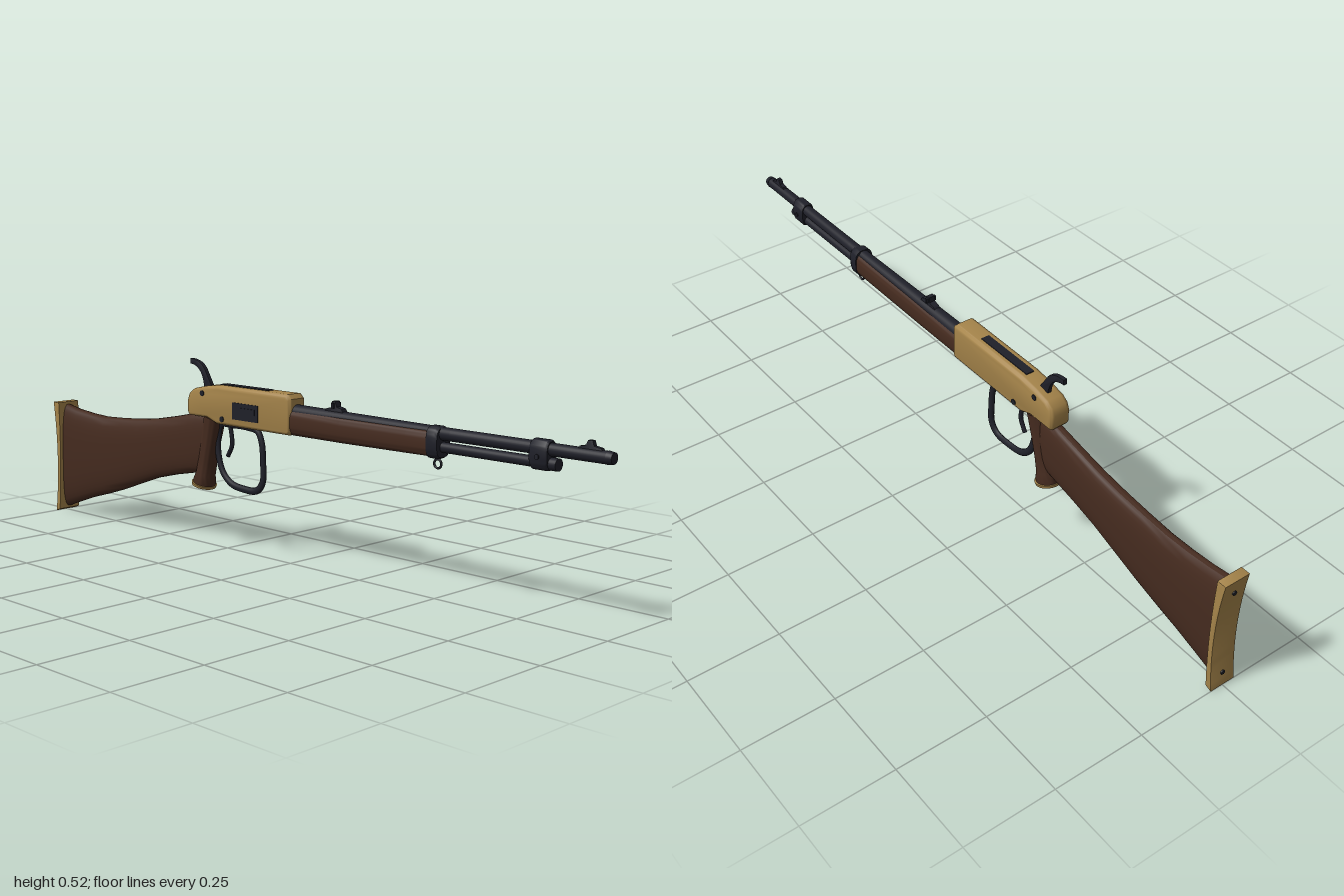
import * as THREE from 'three';
import { toCreasedNormals } from 'three/addons/utils/BufferGeometryUtils.js';

const mat = (name, color) => {
  const m = new THREE.MeshStandardMaterial({ color });
  m.name = name;
  return m;
};

// Superellipse cross-sections along x; each row is [x, bottom y, top y, half width]
function loft(rows, power = 2.4, n = 32) {
  const pos = [], idx = [];
  const soft = (v) => Math.sign(v) * Math.pow(Math.abs(v), 2 / power);
  for (const [x, y0, y1, w] of rows) {
    for (let j = 0; j < n; j++) {
      const a = (j / n) * Math.PI * 2;
      pos.push(x, (y0 + y1) / 2 + (y1 - y0) / 2 * soft(Math.cos(a)), w * soft(Math.sin(a)));
    }
  }
  const last = rows.length - 1;
  for (let i = 0; i < last; i++) {
    for (let j = 0; j < n; j++) {
      const k = (j + 1) % n, a = i * n + j, b = i * n + k;
      idx.push(a, b, b + n, a, b + n, a + n);
    }
  }
  for (const [r, flip] of [[0, true], [last, false]]) {
    const c = pos.length / 3;
    pos.push(rows[r][0], (rows[r][1] + rows[r][2]) / 2, 0);
    for (let j = 0; j < n; j++) {
      const a = r * n + j, b = r * n + (j + 1) % n;
      idx.push(c, flip ? b : a, flip ? a : b);
    }
  }
  const g = new THREE.BufferGeometry();
  g.setAttribute('position', new THREE.Float32BufferAttribute(pos, 3));
  g.setIndex(idx);
  return toCreasedNormals(g, 0.7);
}

// Side profile extruded evenly about z = 0, with edges rounded inward
function slab(shape, width, bevel = 0.002, segments = 2) {
  const g = new THREE.ExtrudeGeometry(shape, {
    depth: width - 2 * bevel, bevelEnabled: true, bevelSize: bevel, bevelOffset: -bevel,
    bevelThickness: bevel, bevelSegments: segments, curveSegments: 16,
  });
  g.translate(0, 0, -(width - 2 * bevel) / 2);
  return toCreasedNormals(g, 0.7);
}

const poly = (pts) => new THREE.Shape(pts.map(([x, y]) => new THREE.Vector2(x, y)));
const spline = (pts, closed = false) =>
  new THREE.CatmullRomCurve3(pts.map(([x, y]) => new THREE.Vector3(x, y, 0)), closed);

export function createModel() {
  const wood = mat('walnut', 0x452b1f);
  const brass = mat('brass', 0xa5844a);
  const steel = mat('blued steel', 0x1f2029);
  const model = new THREE.Group();
  model.name = 'leverRifle';

  const add = (name, geo, material, x = 0, y = 0, z = 0) => {
    const m = new THREE.Mesh(geo, material);
    m.name = name;
    m.position.set(x, y, z);
    model.add(m);
    return m;
  };
  const box = (name, material, w, h, d, x, y, z = 0) =>
    add(name, new THREE.BoxGeometry(w, h, d), material, x, y, z);
  const rod = (name, material, x0, x1, r0, r1, y) =>
    add(name, new THREE.CylinderGeometry(r1, r0, x1 - x0, 28).rotateZ(-Math.PI / 2),
      material, (x0 + x1) / 2, y);

  // Shoulder stock
  add('stock', loft([
    [-0.98, 0.014, 0.336, 0.027], [-0.92, 0.036, 0.326, 0.027], [-0.85, 0.06, 0.319, 0.027],
    [-0.78, 0.08, 0.316, 0.027], [-0.7, 0.105, 0.32, 0.027], [-0.62, 0.134, 0.326, 0.027],
    [-0.54, 0.162, 0.336, 0.026], [-0.46, 0.182, 0.351, 0.025], [-0.39, 0.196, 0.366, 0.024],
    [-0.35, 0.204, 0.374, 0.023], [-0.32, 0.225, 0.378, 0.02],
  ], 2.6), wood);

  // Butt plate with a hollow back
  const plate = new THREE.Shape();
  plate.moveTo(-1, 0.342);
  plate.quadraticCurveTo(-0.974, 0.17, -1, 0.001);
  plate.lineTo(-0.982, 0.008);
  plate.quadraticCurveTo(-0.966, 0.17, -0.974, 0.342);
  add('buttPlate', slab(plate, 0.074, 0.001), brass);
  for (const y of [0.04, 0.3]) rod('buttScrew', steel, -0.998, -0.98, 0.006, 0.006, y);

  // Pistol grip with a flared foot and brass cap
  const grip = new THREE.Group();
  grip.name = 'grip';
  grip.position.set(-0.345, 0.172, 0);
  grip.rotation.z = -0.24;
  const gripProfile = [[0, 0], [0.033, 0], [0.034, 0.008], [0.029, 0.03], [0.028, 0.07],
    [0.029, 0.13], [0.032, 0.2], [0, 0.2]].map(([r, y]) => new THREE.Vector2(r, y));
  const gripBody = new THREE.Mesh(
    toCreasedNormals(new THREE.LatheGeometry(gripProfile, 28), 0.7), wood);
  gripBody.name = 'gripBody';
  gripBody.scale.z = 0.92;
  const gripCap = new THREE.Mesh(new THREE.CylinderGeometry(0.036, 0.034, 0.008, 28), brass);
  gripCap.name = 'gripCap';
  gripCap.position.y = -0.002;
  grip.add(gripBody, gripCap);
  model.add(grip);

  // Receiver with rounded long edges
  add('receiver', slab(poly([
    [-0.376, 0.366], [-0.3, 0.366], [-0.262, 0.352], [0.018, 0.352], [0.026, 0.36], [0.026, 0.448],
    [0.014, 0.46], [-0.255, 0.46], [-0.31, 0.453], [-0.355, 0.443], [-0.374, 0.43], [-0.382, 0.41], [-0.382, 0.375],
  ]), 0.062, 0.012, 5), brass);

  // Loading port on one side and the slot on top
  box('sidePort', steel, 0.1, 0.046, 0.004, -0.142, 0.397, 0.031);
  box('sidePortCover', steel, 0.055, 0.016, 0.006, -0.13, 0.4, 0.032);
  box('topSlot', steel, 0.185, 0.004, 0.024, -0.167, 0.46);

  // Cross screws
  for (const [x, y] of [[-0.315, 0.433], [-0.235, 0.369]]) {
    add('crossScrew', new THREE.CylinderGeometry(0.008, 0.008, 0.066, 16).rotateX(Math.PI / 2),
      steel, x, y);
  }

  // Hammer
  const spur = new THREE.Shape();
  spur.moveTo(-0.392, 0.522);
  spur.quadraticCurveTo(-0.345, 0.522, -0.328, 0.49);
  spur.lineTo(-0.3, 0.445);
  spur.lineTo(-0.335, 0.44);
  spur.quadraticCurveTo(-0.34, 0.505, -0.393, 0.507);
  add('hammer', slab(spur, 0.012), steel);

  // Lever loop and trigger
  const loop = spline([[-0.272, 0.348], [-0.284, 0.31], [-0.283, 0.26], [-0.266, 0.215], [-0.232, 0.187],
    [-0.18, 0.178], [-0.13, 0.181], [-0.107, 0.206], [-0.105, 0.265], [-0.11, 0.315], [-0.126, 0.345],
    [-0.165, 0.352], [-0.225, 0.352]], true);
  add('leverLoop', new THREE.TubeGeometry(loop, 96, 0.01, 10, true), steel).scale.z = 0.7;
  const triggerPath = spline([[-0.238, 0.358], [-0.23, 0.325], [-0.228, 0.295], [-0.245, 0.262]]);
  add('trigger', new THREE.TubeGeometry(triggerPath, 20, 0.006, 8), steel);

  // Barrel, muzzle and magazine tube
  rod('barrel', steel, 0.01, 0.55, 0.021, 0.016, 0.412);
  rod('barrelFront', steel, 0.55, 0.99, 0.016, 0.015, 0.412);
  rod('muzzle', steel, 0.985, 1, 0.016, 0.0135, 0.412);
  rod('magazineTube', steel, 0.45, 0.85, 0.013, 0.013, 0.379);
  rod('magazineCap', steel, 0.835, 0.855, 0.015, 0.015, 0.379);

  // Wooden fore-end and its steel cap
  add('foreEnd', loft([[0.02, 0.351, 0.422, 0.027], [0.2, 0.351, 0.421, 0.027],
    [0.42, 0.353, 0.42, 0.026], [0.5, 0.354, 0.42, 0.026]], 3), wood);
  add('foreEndCap', loft([[0.488, 0.35, 0.43, 0.028], [0.512, 0.35, 0.43, 0.028],
    [0.52, 0.354, 0.426, 0.025]], 3), steel);
  add('slingRing', new THREE.TorusGeometry(0.011, 0.003, 8, 20), steel, 0.504, 0.337);

  // Barrel band
  add('barrelBand', loft([[0.785, 0.366, 0.43, 0.019], [0.79, 0.362, 0.434, 0.022],
    [0.83, 0.362, 0.434, 0.022], [0.835, 0.366, 0.43, 0.019]], 2.6), steel);
  add('bandScrew', new THREE.CylinderGeometry(0.006, 0.006, 0.05, 14).rotateX(Math.PI / 2),
    steel, 0.81, 0.395);

  // Rear and front sights
  add('rearSight', slab(poly([[0.13, 0.425], [0.2, 0.425], [0.192, 0.438], [0.175, 0.442],
    [0.17, 0.456], [0.158, 0.456], [0.158, 0.44], [0.14, 0.436]]), 0.018, 0.001), steel);
  box('rearSightLeaf', steel, 0.007, 0.014, 0.03, 0.165, 0.445);
  add('frontSight', slab(poly([[0.905, 0.42], [0.975, 0.42], [0.968, 0.431], [0.95, 0.434],
    [0.946, 0.446], [0.934, 0.446], [0.928, 0.434], [0.912, 0.431]]), 0.012, 0.001), steel);

  return model;
}
